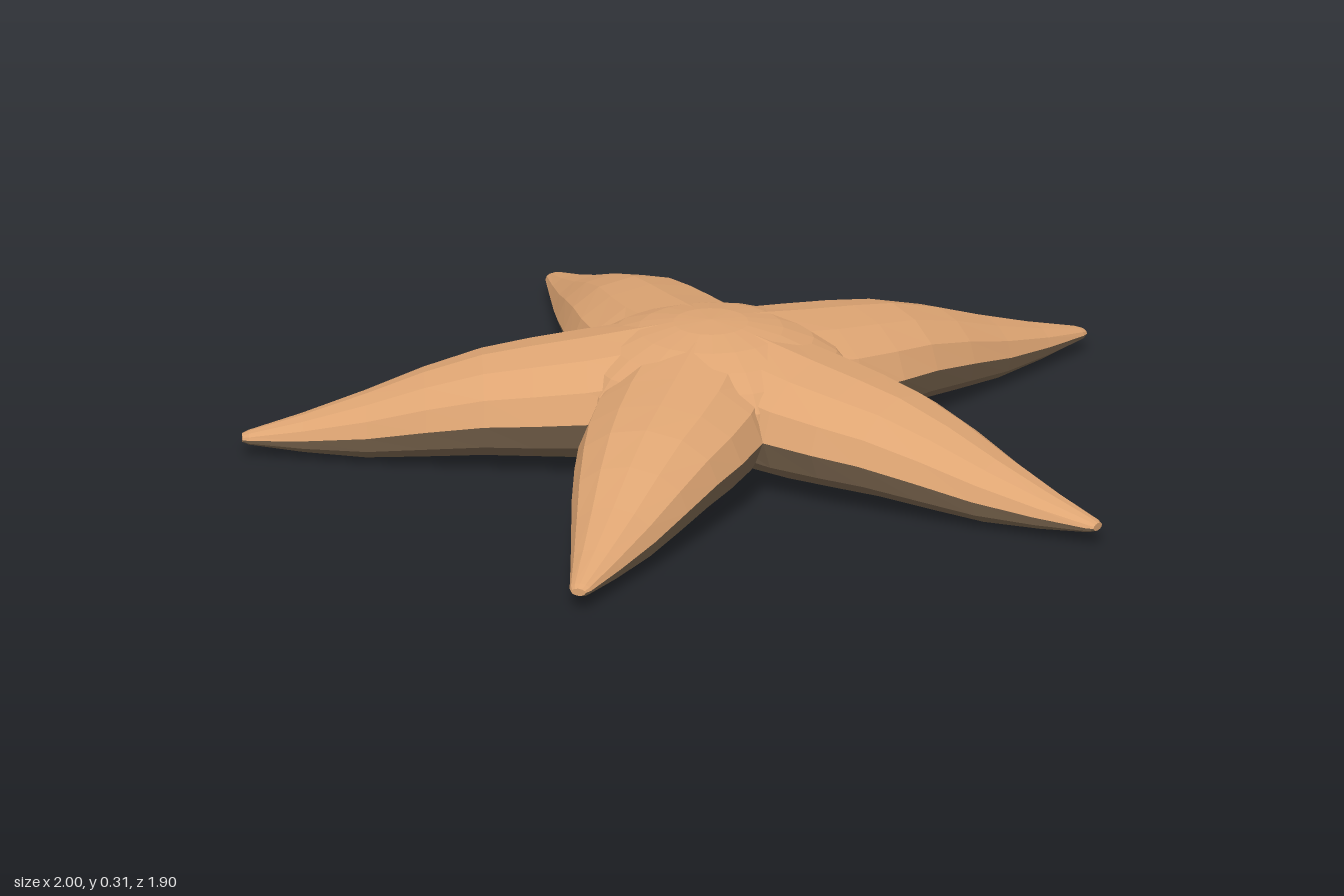
import * as THREE from 'three';

// Arm cross-sections: distance from centre, half width, top y, bottom y
const SECTIONS = [
  [-0.05, 0.17, 0.305, 0.01],
  [0.12, 0.195, 0.303, 0.01],
  [0.28, 0.203, 0.275, 0.01],
  [0.40, 0.19, 0.256, 0.013],
  [0.51, 0.167, 0.236, 0.014],
  [0.64, 0.135, 0.196, 0.008],
  [0.77, 0.098, 0.146, 0.003],
  [0.91, 0.058, 0.097, 0.014],
  [1.03, 0.025, 0.06, 0.03],
  [1.045, 0.017, 0.053, 0.036],
];
const SIDES = 12;

// Tapered arm pointing to -z, shaped from a cylinder whose first half-turn is the upper side
function armGeometry() {
  const steps = SECTIONS.length - 1;
  const geo = new THREE.CylinderGeometry(1, 1, 1, SIDES, steps, false, -Math.PI / 2);
  const pos = geo.attributes.position;
  for (let i = 0; i < pos.count; i++) {
    const [d, w, top, bottom] = SECTIONS[Math.round((pos.getY(i) + 0.5) * steps)];
    const x = pos.getX(i) * w;
    const y = (top + bottom) / 2 + (pos.getZ(i) * (top - bottom)) / 2;
    pos.setXYZ(i, x, y, -d);
  }
  geo.computeVertexNormals();

  // Upper half and end caps in the first material, lower half in the second
  const half = (SIDES / 2) * steps * 6;
  geo.clearGroups();
  geo.addGroup(0, half, 0);
  geo.addGroup(half, half, 1);
  geo.addGroup(half * 2, SIDES * 6, 0);
  return geo;
}

function makeSkin(name, color) {
  const skin = new THREE.MeshStandardMaterial({ color });
  skin.name = name;
  skin.flatShading = true;
  return skin;
}

export function createModel() {
  const model = new THREE.Group();
  model.name = 'starfish';
  const upper = makeSkin('sandy orange', 0xdea573);
  const under = makeSkin('dull brown', 0x806a52);

  const body = new THREE.Group();
  body.name = 'body';
  body.position.z = 0.095;
  model.add(body);

  // Central disc: an upper and a lower dome
  [['discTop', upper, 0], ['discUnderside', under, Math.PI / 2]].forEach(([name, skin, start]) => {
    const dome = new THREE.Mesh(
      new THREE.SphereGeometry(1, 20, 6, 0, Math.PI * 2, start, Math.PI / 2), skin);
    dome.name = name;
    dome.scale.set(0.325, 0.155, 0.325);
    dome.position.y = 0.16;
    body.add(dome);
  });

  // Five arms spread evenly round the disc
  const geo = armGeometry();
  for (let i = 0; i < 5; i++) {
    const arm = new THREE.Mesh(geo, [upper, under]);
    arm.name = `arm${i + 1}`;
    arm.rotation.y = (i * Math.PI * 2) / 5;
    body.add(arm);
  }
  return model;
}
